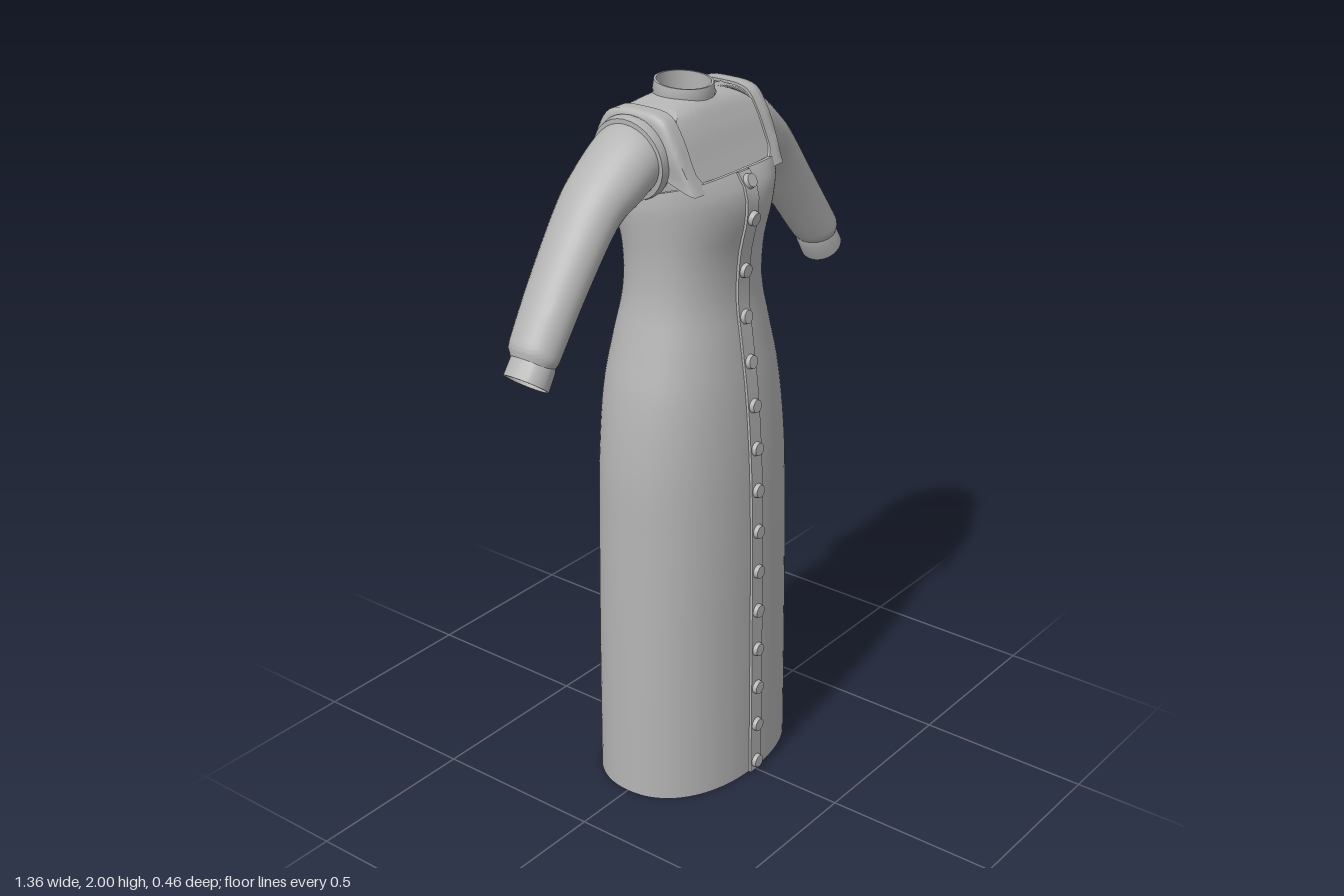
import * as THREE from 'three';
import { toCreasedNormals } from 'three/addons/utils/BufferGeometryUtils.js';

const cloth = new THREE.MeshStandardMaterial({ color: 0xb4b4b4, side: THREE.DoubleSide });
cloth.name = 'grey cloth';

// Surface from fn(u index, v index) -> [x, y, z]; closed joins the last column to the first
function surface(name, nu, nv, closed, fn) {
  const pos = [], idx = [], spans = closed ? nu : nu - 1;
  for (let j = 0; j < nv; j++) for (let i = 0; i < nu; i++) pos.push(...fn(i, j));
  for (let j = 0; j < nv - 1; j++) {
    for (let i = 0; i < spans; i++) {
      const a = j * nu + i, b = j * nu + (i + 1) % nu;
      idx.push(a, a + nu, b, b, a + nu, b + nu);
    }
  }
  const geo = new THREE.BufferGeometry();
  geo.setAttribute('position', new THREE.Float32BufferAttribute(pos, 3));
  geo.setIndex(idx);
  const mesh = new THREE.Mesh(toCreasedNormals(geo, 0.8), cloth);
  mesh.name = name;
  return mesh;
}

const power = (v, n) => Math.sign(v) * Math.pow(Math.abs(v), 2 / n);

// Dress sections: height, half width, front z, back z, squareness
const sections = [
  [0, 0.31, 0.217, -0.226, 2.2],
  [0.4, 0.306, 0.215, -0.225, 2.2],
  [0.8, 0.299, 0.211, -0.222, 2.2],
  [1.0, 0.292, 0.204, -0.22, 2.2],
  [1.2, 0.265, 0.188, -0.214, 2.2],
  [1.32, 0.234, 0.172, -0.196, 2.2],
  [1.45, 0.203, 0.156, -0.172, 2.2],
  [1.56, 0.197, 0.162, -0.168, 2.3],
  [1.65, 0.203, 0.183, -0.174, 2.5],
  [1.71, 0.207, 0.178, -0.182, 3],
  [1.745, 0.203, 0.152, -0.186, 4],
];
const TOP = 1.745;
const blend = new THREE.CubicInterpolant(sections.map(s => s[0]), sections.flatMap(s => s.slice(1)), 4);

function bodyPoint(angle, y, scale = 1) {
  const [w, front, back, n] = blend.evaluate(y);
  const s = power(Math.sin(angle), n);
  // The neckline is higher in front than behind
  const tilt = 0.045 * s * Math.max(0, (y - 1.5) / (TOP - 1.5));
  return [scale * w * power(Math.cos(angle), n), y + tilt, scale * s * (s > 0 ? front : -back)];
}

// Shoulder profile from chest to back: y and z over the shoulder
const shoulder = new THREE.CatmullRomCurve3([
  [0.142, 1.765], [0.112, 1.83], [0.08, 1.9], [0.045, 1.945], [-0.035, 1.955],
  [-0.11, 1.945], [-0.15, 1.89], [-0.175, 1.8], [-0.178, 1.685],
].map(([z, y]) => new THREE.Vector3(0, y, z)));

// Sleeve rings: x, y, downward angle, thickness radius, z radius, z centre
const sleeveRings = [
  [0.195, 1.84, 0.08, 0.1, 0.1, -0.037],
  [0.235, 1.835, 0.25, 0.09, 0.103, -0.038],
  [0.3, 1.79, 0.6, 0.08, 0.1, -0.042],
  [0.375, 1.73, 0.82, 0.07, 0.09, -0.045],
  [0.49, 1.585, 0.9, 0.065, 0.081, -0.042],
  [0.58, 1.465, 0.9, 0.062, 0.074, -0.035],
  [0.604, 1.433, 0.91, 0.059, 0.07, -0.032],
  [0.616, 1.415, 0.92, 0.048, 0.058, -0.03],
];
const cuffRings = [
  [0.6, 1.425, 0.92, 0.05, 0.058, -0.03],
  [0.609, 1.409, 0.92, 0.055, 0.062, -0.03],
  [0.636, 1.368, 0.92, 0.057, 0.063, -0.03],
  [0.636, 1.368, 0.92, 0.051, 0.057, -0.03],
  [0.6, 1.425, 0.92, 0.048, 0.055, -0.03],
];
// Raised band around each armhole
const trimRings = [
  [0.19, 1.838, 0.1, 0.108, 0.11, -0.037],
  [0.205, 1.838, 0.1, 0.113, 0.116, -0.037],
  [0.226, 1.836, 0.1, 0.108, 0.112, -0.037],
  [0.228, 1.836, 0.1, 0.09, 0.095, -0.037],
];

function ringTube(name, rings, side, steps = rings.length) {
  const path = new THREE.CubicInterpolant(rings.map((r, i) => i), rings.flat(), 6);
  return surface(name, 32, steps, true, (i, j) => {
    const [x, y, a, r, rz, cz] = path.evaluate(j * (rings.length - 1) / (steps - 1));
    const t = i / 32 * Math.PI * 2, c = Math.cos(t) * r;
    return [side * (x + c * Math.sin(a)), y + c * Math.cos(a), cz + Math.sin(t) * rz];
  });
}

export function createModel() {
  const model = new THREE.Group();
  model.name = 'buttonedDress';

  // Skirt and bodice, ending in a narrow turned-in neckline edge
  const rows = 60, around = 80;
  model.add(surface('dressBody', around, rows + 1, true, (i, j) =>
    bodyPoint(i / around * Math.PI * 2, TOP * Math.min(1, j / (rows - 1)), j === rows ? 0.94 : 1)));
  // Hem turned inwards
  model.add(surface('hem', around, 2, true, (i, j) =>
    bodyPoint(i / around * Math.PI * 2, j * 0.001, j ? 1 : 0.98)));

  // Blouse yoke spreading from the neck hole
  model.add(surface('blouseYoke', 64, 14, true, (i, j) => {
    const a = i / 64 * Math.PI * 2, f = j / 13;
    const x = THREE.MathUtils.lerp(0.082 * Math.cos(a), 0.197 * power(Math.cos(a), 8), f);
    const s = THREE.MathUtils.lerp(0.125 * Math.sin(a), 0.5 * power(Math.sin(a), 8), f);
    const p = shoulder.getPoint(THREE.MathUtils.clamp(0.5 - s, 0, 1));
    return [x, p.y + 0.01 * (1 - f) ** 3, p.z];
  }));

  // Stand collar, lower in front: height, outset
  const collar = [[1.945, 0.008], [1.962, 0.002], [1.968, 0.004], [1.993, 0], [1.993, -0.006], [1.94, -0.006]];
  model.add(surface('collar', 40, collar.length, true, (i, j) => {
    const a = i / 40 * Math.PI * 2, [y, d] = collar[j], s = Math.sin(a);
    return [(0.079 + d) * Math.cos(a), y - 0.007 * s, -0.034 + (0.076 + d) * s];
  }));

  // Shoulder straps, folding down the side to the armhole: outset x, scale about the armhole
  const fold = [[0, 0.98], [0, 1.04], [0.5, 1.04], [0.9, 1.035], [1, 1.0], [1.06, 0.9], [1.1, 0.55]];
  for (const side of [1, -1]) {
    const label = side > 0 ? 'left' : 'right';
    model.add(surface(label + 'Strap', 36, fold.length, false, (i, j) => {
      const t = i / 35, p = shoulder.getPoint(t), [f, k] = fold[j];
      const inner = 0.157 - 0.06 * THREE.MathUtils.smoothstep(t, 0.8, 1)
        - 0.03 * (1 - THREE.MathUtils.smoothstep(t, 0, 0.1));
      const outer = 0.205 - 0.012 * (1 - THREE.MathUtils.smoothstep(t, 0, 0.2));
      return [side * (inner + (outer - inner) * f), 1.83 + (p.y - 1.83) * k, -0.035 + (p.z + 0.035) * k];
    }));
    model.add(ringTube(label + 'ArmholeTrim', trimRings, side));
    model.add(ringTube(label + 'Sleeve', sleeveRings, side, 36));
    model.add(ringTube(label + 'Cuff', cuffRings, side));
  }

  // Button placket down the front
  const band = [[-0.024, -0.01], [-0.024, 0.007], [0.024, 0.007], [0.024, -0.01]];
  model.add(surface('placket', 4, 60, false, (i, j) => {
    const p = bodyPoint(Math.PI / 2, TOP * j / 59);
    return [band[i][0], p[1], p[2] + band[i][1]];
  }));

  // Buttons facing along the slope of the front
  const button = new THREE.CylinderGeometry(0.018, 0.021, 0.016, 20).rotateX(Math.PI / 2);
  for (let k = 0; k < 15; k++) {
    const y = Math.min(0.03 + k * 0.124, 1.725);
    const p = bodyPoint(Math.PI / 2, y), q = bodyPoint(Math.PI / 2, y - 0.02);
    const mesh = new THREE.Mesh(button, cloth);
    mesh.name = 'button';
    mesh.position.set(0, p[1], p[2] + 0.011);
    mesh.rotation.x = -Math.atan2(q[2] - p[2], p[1] - q[1]);
    model.add(mesh);
  }
  return model;
}
